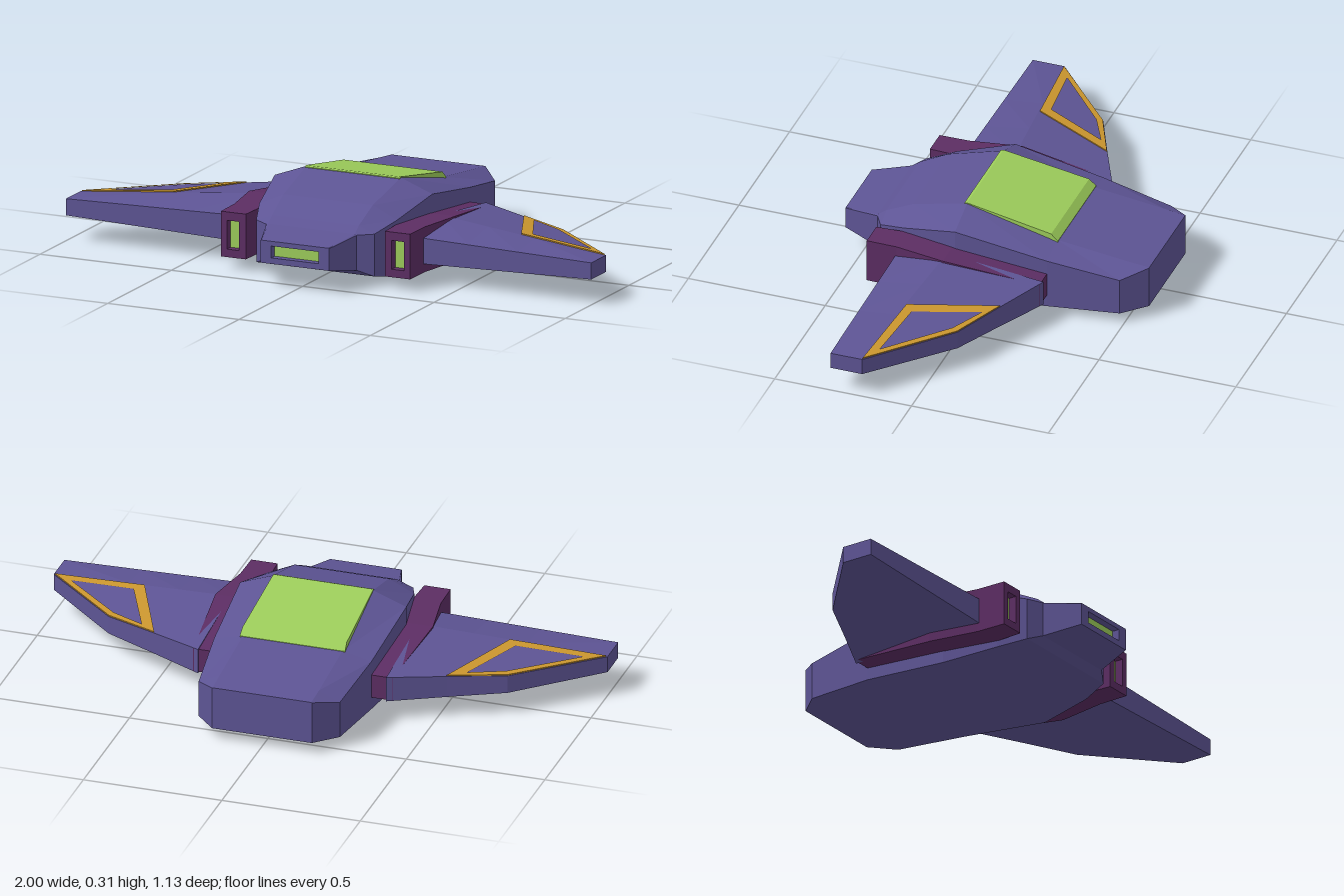
import * as THREE from 'three';

const paint = (name, color) => {
  const m = new THREE.MeshStandardMaterial({ color, flatShading: true });
  m.name = name;
  return m;
};

// Skin a row of equal-sized cross-sections with flat facets; optional end caps.
function loft(rings, capStart = true, capEnd = true) {
  const pos = [];
  const tri = (a, b, c) => {
    const area = new THREE.Triangle(a, b, c).getArea();
    if (area > 1e-8) for (const p of [a, b, c]) pos.push(p.x, p.y, p.z);
  };
  const R = rings.map(r => r.map(p => new THREE.Vector3(...p)));
  const n = R[0].length;
  for (let k = 0; k < R.length - 1; k++) {
    for (let i = 0; i < n; i++) {
      const j = (i + 1) % n;
      tri(R[k][i], R[k][j], R[k + 1][j]);
      tri(R[k][i], R[k + 1][j], R[k + 1][i]);
    }
  }
  const last = R[R.length - 1];
  for (let i = 1; i < n - 1; i++) {
    if (capStart) tri(R[0][0], R[0][i + 1], R[0][i]);
    if (capEnd) tri(last[0], last[i], last[i + 1]);
  }
  const g = new THREE.BufferGeometry();
  g.setAttribute('position', new THREE.Float32BufferAttribute(pos, 3));
  g.computeVertexNormals();
  return g;
}

// Mirror a geometry across x = 0 and restore its winding.
function mirrored(geo) {
  const g = geo.index ? geo.toNonIndexed() : geo.clone();
  g.scale(-1, 1, 1);
  const p = g.attributes.position;
  const a = new THREE.Vector3(), b = new THREE.Vector3();
  for (let i = 0; i < p.count; i += 3) {
    a.fromBufferAttribute(p, i + 1);
    b.fromBufferAttribute(p, i + 2);
    p.setXYZ(i + 1, b.x, b.y, b.z);
    p.setXYZ(i + 2, a.x, a.y, a.z);
  }
  g.computeVertexNormals();
  return g;
}

export function createModel() {
  const hullPaint = paint('violet hull', 0x5d5494);
  const podPaint = paint('plum pods', 0x5c2d63);
  const glow = paint('lime glass', 0x9ccc5a);
  const gold = paint('gold trim', 0xca962e);

  const model = new THREE.Group();
  const add = (name, geo, mat) => {
    const m = new THREE.Mesh(geo, mat);
    m.name = name;
    model.add(m);
  };
  const addPair = (name, geo, mat) => {
    add(name + 'Left', geo, mat);
    add(name + 'Right', mirrored(geo), mat);
  };

  // Hull: z, side half width, roof half width, bottom, shoulder, roof
  const hullRing = ([z, w, t, y0, y1, y2]) =>
    [[-w, y0, z], [w, y0, z], [w, y1, z], [t, y2, z], [-t, y2, z], [-w, y1, z]];
  add('hull', loft([
    [-0.565, 0.18, 0.178, 0.045, 0.199, 0.2],
    [-0.485, 0.255, 0.18, 0.042, 0.175, 0.209],
    [-0.23, 0.284, 0.18, 0.033, 0.215, 0.24],
    [0.1, 0.3, 0.18, 0.003, 0.27, 0.315],
    [0.3, 0.262, 0.17, 0.022, 0.22, 0.263],
    [0.4, 0.225, 0.165, 0.04, 0.19, 0.213],
    [0.43, 0.172, 0.165, 0.063, 0.187, 0.19],
    [0.562, 0.13, 0.128, 0.087, 0.165, 0.167],
    // slot sunk into the nose
    [0.562, 0.09, 0.09, 0.108, 0.15, 0.15],
    [0.535, 0.09, 0.09, 0.108, 0.15, 0.15],
  ].map(hullRing), true, false), hullPaint);
  add('noseLight', new THREE.PlaneGeometry(0.18, 0.042).translate(0, 0.129, 0.5355), glow);

  // Canopy slab: z, half width, bottom, top
  add('canopy', loft([
    [-0.235, 0.19, 0.222, 0.241],
    [-0.21, 0.188, 0.224, 0.264],
    [0.1, 0.181, 0.29, 0.318],
    [0.11, 0.18, 0.29, 0.315],
  ].map(([z, w, y0, y1]) => [[-w, y0, z], [w, y0, z], [w, y1, z], [-w, y1, z]])), glow);

  // Side pods: z, inner x, outer x, bottom, top, ending in a sunken slot
  addPair('pod', loft([
    [-0.23, 0.26, 0.36, 0.077, 0.163],
    [0.11, 0.26, 0.393, 0.045, 0.205],
    [0.29, 0.26, 0.362, 0.045, 0.205],
    [0.4, 0.265, 0.36, 0.045, 0.205],
    [0.4, 0.29, 0.337, 0.073, 0.175],
    [0.37, 0.29, 0.337, 0.073, 0.175],
  ].map(([z, x0, x1, y0, y1]) => [[x0, y0, z], [x1, y0, z], [x1, y1, z], [x0, y1, z]]), true, false), podPaint);
  addPair('podLight', new THREE.PlaneGeometry(0.047, 0.102).translate(0.3135, 0.124, 0.3705), glow);

  // Wings: upper front panel lies on one plane
  const wingTop = (x, z) => 0.2223 - 0.0902 * x + 0.1077 * z;
  const wingRing = ([x, lead]) => {
    const s = (x - 0.34) / 0.66;
    const crease = 0.115 + 0.07 * s;
    const bottom = 0.075 + 0.018 * s;
    return [
      [x, bottom, 0.296], [x, bottom, lead], [x, wingTop(x, lead), lead],
      [x, wingTop(x, crease), crease], [x, 0.167 - 0.015 * s, 0.296],
    ];
  };
  addPair('wing', loft([[0.34, -0.238], [0.53, -0.15], [0.72, -0.065], [1, 0.18]].map(wingRing)), hullPaint);

  // Gold frame laid on each wing
  const frame = new THREE.Shape([[0.528, -0.149], [0.72, -0.063], [0.995, 0.18], [0.66, 0.144]]
    .map(p => new THREE.Vector2(p[0], -p[1])));
  frame.holes.push(new THREE.Path([[0.588, -0.105], [0.71, -0.043], [0.925, 0.143], [0.69, 0.114]]
    .map(p => new THREE.Vector2(p[0], -p[1]))));
  const trim = new THREE.ExtrudeGeometry(frame, { depth: 0.006, bevelEnabled: false });
  trim.rotateX(-Math.PI / 2);
  const p = trim.attributes.position;
  for (let i = 0; i < p.count; i++) {
    p.setY(i, p.getY(i) - 0.002 + wingTop(p.getX(i), p.getZ(i)));
  }
  trim.computeVertexNormals();
  addPair('wingTrim', trim, gold);

  return model;
}
